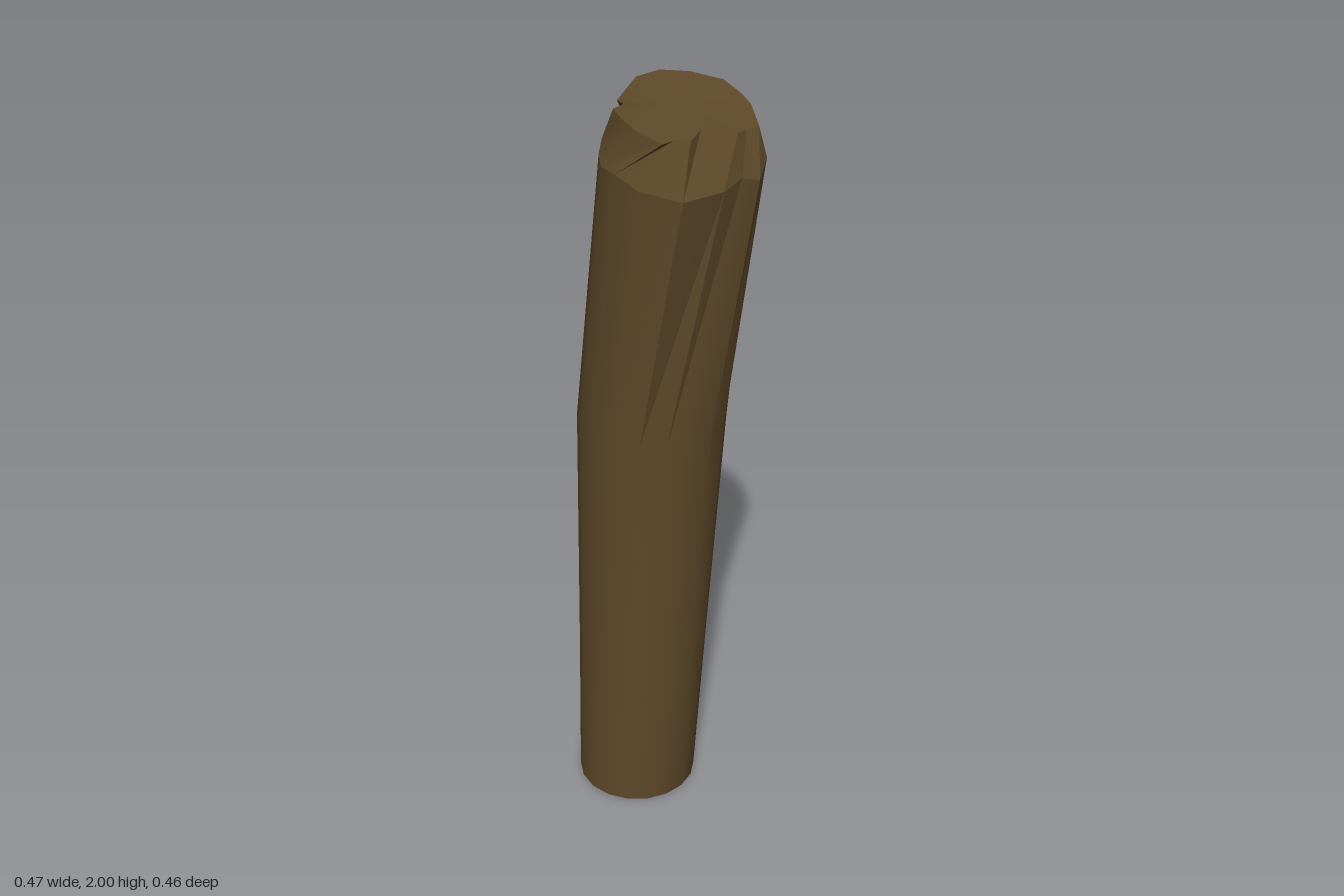
import * as THREE from 'three';
import { toCreasedNormals } from 'three/addons/utils/BufferGeometryUtils.js';

const SIDES = 18;
const V = (x, y, z) => new THREE.Vector3(x, y, z);

// elliptical section of the stem, from its extents in x and z
function section(y, x0, x1, z0, z1) {
  return Array.from({ length: SIDES }, (_, i) => {
    const t = THREE.MathUtils.degToRad(16 + i * 20);
    return V((x0 + x1) / 2 + (x1 - x0) / 2 * Math.sin(t), y,
      (z0 + z1) / 2 - (z1 - z0) / 2 * Math.cos(t));
  });
}

// irregular shoulder where the bark breaks towards the cut
const shoulder = [
  [0.06, 1.90, -0.232], [0.13, 1.88, -0.222], [0.205, 1.85, -0.18],
  [0.235, 1.81, -0.135], [0.222, 1.82, -0.09], [0.23, 1.80, -0.03],
  [0.214, 1.79, 0.08], [0.11, 1.80, 0.13], [0.02, 1.82, 0.135],
  [-0.05, 1.82, 0.125], [-0.11, 1.83, 0.09], [-0.16, 1.85, 0.045],
  [-0.195, 1.86, -0.01], [-0.215, 1.88, -0.06], [-0.20, 1.91, -0.10],
  [-0.14, 1.92, -0.15], [-0.07, 1.92, -0.20], [0, 1.91, -0.222],
].map(p => V(...p));

// chipped rim of the slanted cut
const rim = [
  [0.06, 1.965, -0.22], [0.10, 1.95, -0.215], [0.19, 1.925, -0.165],
  [0.185, 1.92, -0.13], [0.195, 1.92, -0.095], [0.145, 1.93, -0.025],
  [0.17, 1.915, 0.025], [0.14, 1.915, 0.05], [0.135, 1.91, 0.08],
  [0.04, 1.92, 0.085], [-0.04, 1.93, 0.07], [-0.11, 1.935, 0.045],
  [-0.115, 1.94, 0.01], [-0.17, 1.935, -0.01], [-0.185, 1.98, -0.08],
  [-0.14, 2.0, -0.12], [-0.08, 2.0, -0.17], [0, 1.99, -0.21],
].map(p => V(...p));

function build(triangles, crease) {
  const geometry = new THREE.BufferGeometry().setFromPoints(triangles);
  return toCreasedNormals(geometry, crease);
}

// skin between successive sections
function loft(rings) {
  const out = [];
  for (let r = 0; r < rings.length - 1; r++) {
    for (let i = 0; i < SIDES; i++) {
      const j = (i + 1) % SIDES;
      const a = rings[r][i], b = rings[r][j], c = rings[r + 1][j], d = rings[r + 1][i];
      out.push(a, d, b, b, d, c);
    }
  }
  return out;
}

// fan closing one end
function fan(ring, centre, up) {
  return ring.flatMap((p, i) => {
    const q = ring[(i + 1) % SIDES];
    return up ? [centre, q, p] : [centre, p, q];
  });
}

export function createModel() {
  const group = new THREE.Group();
  group.name = 'woodenLog';
  const wood = new THREE.MeshStandardMaterial({ color: 0x5c4728 });

  const add = (name, triangles, crease) => {
    const mesh = new THREE.Mesh(build(triangles, crease), wood);
    mesh.name = name;
    group.add(mesh);
  };

  const base = section(0, -0.17, 0.165, -0.103, 0.232);
  const lower = section(0.45, -0.198, 0.165, -0.147, 0.21);
  const bend = section(1.12, -0.238, 0.163, -0.217, 0.182);

  add('stem', loft([base, lower, bend, shoulder]), 0.42);
  add('brokenEdge', loft([shoulder, rim]), 0.3);
  add('topCut', fan(rim, V(0.01, 1.957, -0.06), true), 0.6);
  add('bottomCut', fan(base, V(0, 0, 0.065), false), 0.3);
  return group;
}
